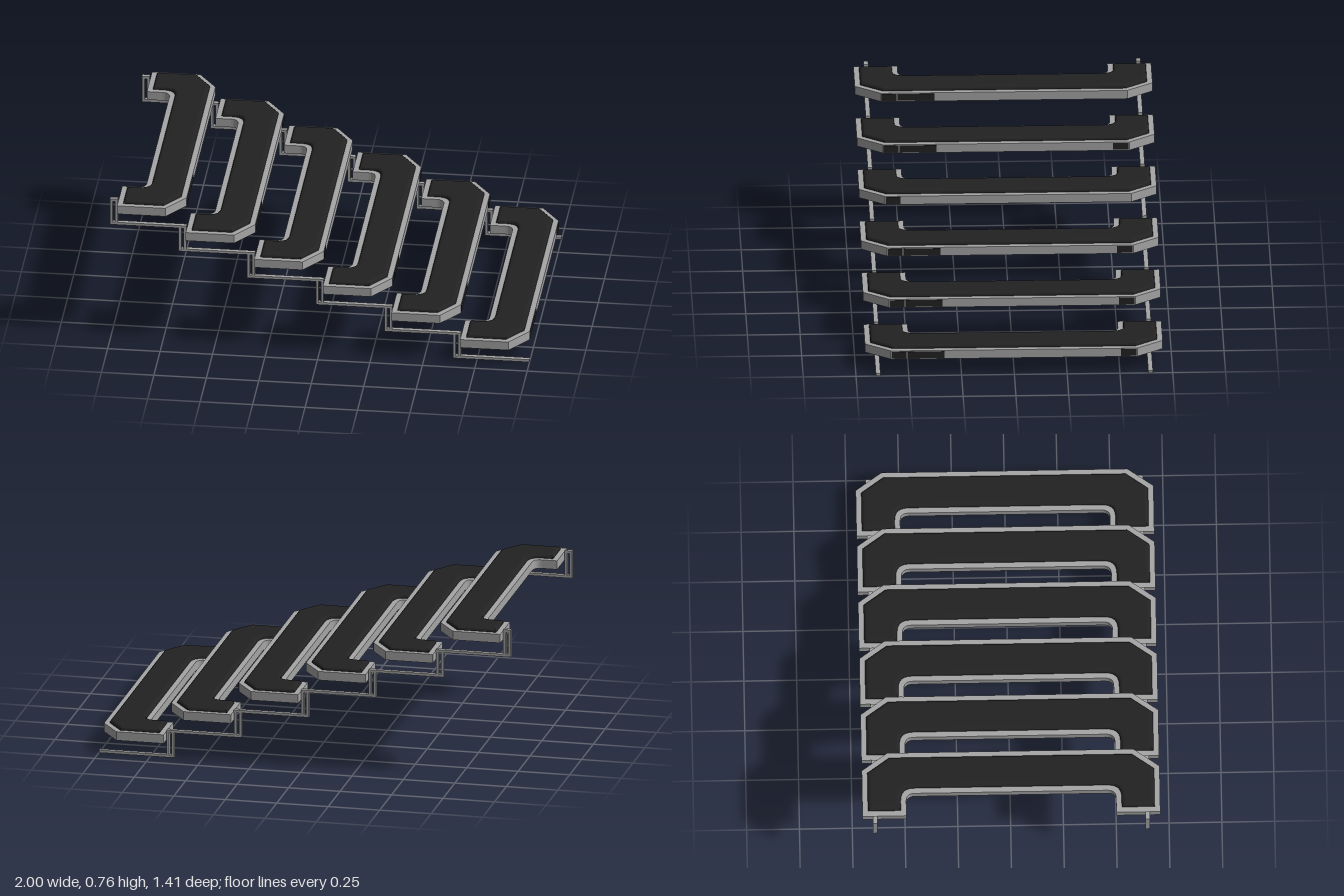
import * as THREE from 'three';

const PITCH_X = 0.327, PITCH_Y = 0.1225, BAR = 0.013, RAIL_Z = 0.645;

// Bracket-shaped outline, inset by d; symmetric front to back
function outline(d) {
  const s = new THREE.Shape();
  s.moveTo(d, -0.705 + d);
  s.lineTo(0.23 - 0.515 * d, -0.705 + d);
  s.lineTo(0.317 - d, -0.583 + 0.32 * d);
  s.lineTo(0.317 - d, 0.583 - 0.32 * d);
  s.lineTo(0.23 - 0.515 * d, 0.705 - d);
  s.lineTo(d, 0.705 - d);
  s.lineTo(d, 0.497 + d);
  s.lineTo(0.075, 0.497 + d);
  s.quadraticCurveTo(0.112 + d, 0.497 + d, 0.112 + d, 0.455);
  s.lineTo(0.112 + d, -0.455);
  s.quadraticCurveTo(0.112 + d, -0.497 - d, 0.075, -0.497 - d);
  s.lineTo(d, -0.497 - d);
  s.closePath();
  return s;
}

// Extrude upwards in y
function slab(shape, depth, bevel = {}) {
  const g = new THREE.ExtrudeGeometry(shape, { depth, bevelEnabled: false, curveSegments: 6, ...bevel });
  return g.rotateX(-Math.PI / 2);
}

export function createModel() {
  const grey = new THREE.MeshStandardMaterial({ color: 0xa6a6a6 });
  grey.name = 'grey metal';
  const black = new THREE.MeshStandardMaterial({ color: 0x222222 });
  black.name = 'black rubber';
  const model = new THREE.Group();
  model.name = 'steppedRack';

  const add = (parent, name, geo, mat, x, y, z) => {
    const m = new THREE.Mesh(geo, mat);
    m.name = name;
    m.position.set(x, y, z);
    parent.add(m);
  };

  // Shared geometries: body, underside rim, padded top
  const bodyGeo = slab(outline(0), 0.037);
  const rimShape = outline(0);
  rimShape.holes.push(new THREE.Path(outline(0.022).getPoints(6)));
  const rimGeo = slab(rimShape, 0.006);
  const padGeo = slab(outline(0.044), 0.004, {
    bevelEnabled: true, bevelSize: 0.018, bevelThickness: 0.013, bevelSegments: 3,
  });

  // Dark plates on the outer side: [centre z, length]
  const plates = [[0.545, 0.07], [0.418, 0.174], [-0.542, 0.073]];
  const fitted = [[0, 1], [0, 1, 2], [0], [0, 1, 2], [0, 1, 2], [0, 1, 2]];

  for (let i = 0; i < 6; i++) {
    const x0 = -1 + i * PITCH_X, y0 = 0.621 - i * PITCH_Y;

    const unit = new THREE.Group();
    unit.name = 'unit' + (i + 1);
    unit.position.set(x0 + 0.04, y0 + 0.076, 0);
    add(unit, 'body', bodyGeo, grey, 0, 0.006, 0);
    add(unit, 'undersideRim', rimGeo, grey, 0, 0, 0);
    add(unit, 'pad', padGeo, black, 0, 0.043, 0);
    for (const k of fitted[i]) {
      const [z, len] = plates[k];
      add(unit, 'sidePlate', new THREE.BoxGeometry(0.004, 0.034, len), black, 0.317, 0.0215, z);
    }
    model.add(unit);

    // Stepped rails: a tread bar and a pair of posts with a cap, on both sides
    for (const z of [RAIL_Z, -RAIL_Z]) {
      const rail = new THREE.Group();
      rail.name = z > 0 ? 'frontRail' : 'backRail';
      rail.position.set(x0, y0, z);
      add(rail, 'treadBar', new THREE.BoxGeometry(0.365, BAR, 0.022), grey, 0.1825, 0, 0);
      for (const px of [BAR / 2, 0.037 - BAR / 2])
        add(rail, 'post', new THREE.BoxGeometry(BAR, PITCH_Y - BAR, 0.022), grey, px, PITCH_Y / 2, 0);
      if (i === 0) add(rail, 'postCap', new THREE.BoxGeometry(0.037, BAR, 0.022), grey, 0.0185, PITCH_Y, 0);
      model.add(rail);
    }
  }
  return model;
}
